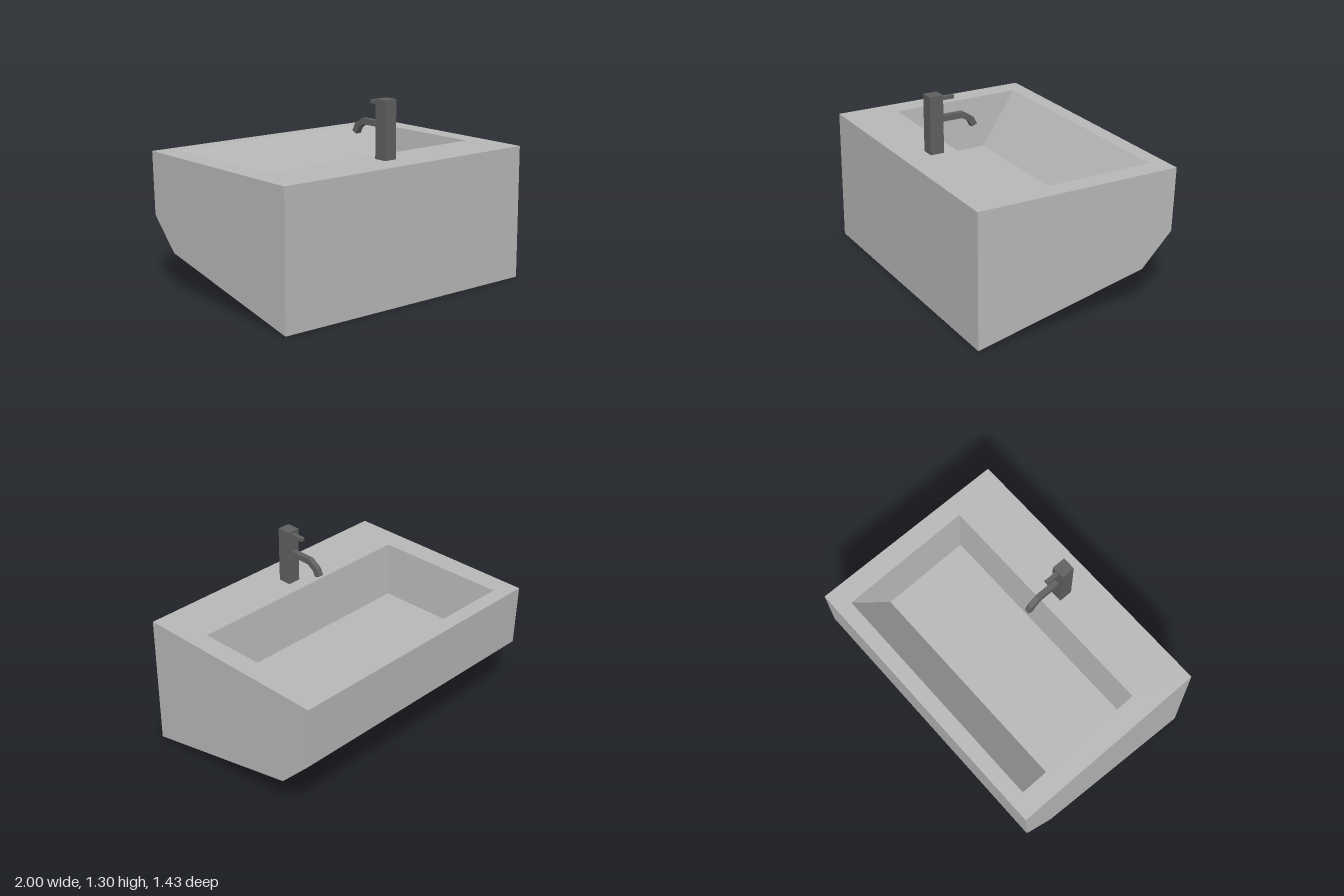
import * as THREE from 'three';

// Flat-shaded geometry from convex polygons (corners counter-clockwise seen from outside)
function polygons(list) {
  const pos = [];
  for (const p of list) {
    for (let i = 1; i < p.length - 1; i++) pos.push(...p[0], ...p[i], ...p[i + 1]);
  }
  const g = new THREE.BufferGeometry();
  g.setAttribute('position', new THREE.Float32BufferAttribute(pos, 3));
  g.computeVertexNormals();
  return g;
}

// Extrude a side profile of [z, y] points across x
function sideExtrude(profile, x0, x1) {
  const shape = new THREE.Shape(profile.map(([z, y]) => new THREE.Vector2(-z, y)));
  const g = new THREE.ExtrudeGeometry(shape, { depth: x1 - x0, bevelEnabled: false });
  g.rotateY(Math.PI / 2);
  g.translate(x0, 0, 0);
  return g;
}

export function createModel() {
  const group = new THREE.Group();
  group.name = 'washbasin';
  const ceramic = new THREE.MeshStandardMaterial({ color: 0xb8b8b8 });
  ceramic.name = 'light grey ceramic';
  const metal = new THREE.MeshStandardMaterial({ color: 0x606060 });
  metal.name = 'dark grey metal';

  const add = (name, geometry, material) => {
    const mesh = new THREE.Mesh(geometry, material);
    mesh.name = name;
    group.add(mesh);
  };

  const top = 0.915, floorY = 0.54;

  // Outer shell: side profile from the top front edge round underneath to the top back edge
  const profile = [[0.715, top], [0.715, 0], [-0.48, 0.265], [-0.697, 0.485], [-0.715, top]];
  const left = profile.map(([z, y]) => [1, y, z]);
  const right = profile.map(([z, y]) => [-1, y, z]);
  const shell = [left, [...right].reverse()];
  for (let i = 0; i < profile.length - 1; i++) {
    shell.push([left[i], right[i], right[i + 1], left[i + 1]]);
  }
  add('basinBody', polygons(shell), ceramic);

  // Rim and bowl, from three matching four-cornered loops
  const loop = (y, pts) => pts.map(([x, z]) => [x, y, z]);
  const outer = loop(top, [[-1, -0.715], [-1, 0.715], [1, 0.715], [1, -0.715]]);
  const inner = loop(top, [[-0.855, -0.61], [-0.845, 0.34], [0.865, 0.34], [0.85, -0.61]]);
  const floor = loop(floorY, [[-0.825, -0.34], [-0.815, 0.305], [0.83, 0.305], [0.82, -0.34]]);
  const bridge = (a, b) => a.map((p, i) => {
    const j = (i + 1) % a.length;
    return [p, a[j], b[j], b[i]];
  });
  add('rim', polygons(bridge(outer, inner)), ceramic);
  add('bowlWalls', polygons(bridge(inner, floor)), ceramic);
  add('bowlFloor', polygons([floor]), ceramic);

  // Tap: square column, bent spout and small lever
  const column = new THREE.BoxGeometry(0.092, 0.39, 0.095);
  column.translate(-0.003, top + 0.195, 0.481);
  add('tapColumn', column, metal);

  add('tapSpout', sideExtrude([
    [0.44, 1.118], [0.283, 1.118], [0.235, 1.088], [0.213, 1.047],
    [0.175, 1.063], [0.2, 1.112], [0.268, 1.157], [0.44, 1.157],
  ], -0.022, 0.017), metal);

  const lever = new THREE.BoxGeometry(0.03, 0.023, 0.1);
  lever.translate(0.001, 1.274, 0.39);
  add('tapLever', lever, metal);

  return group;
}
